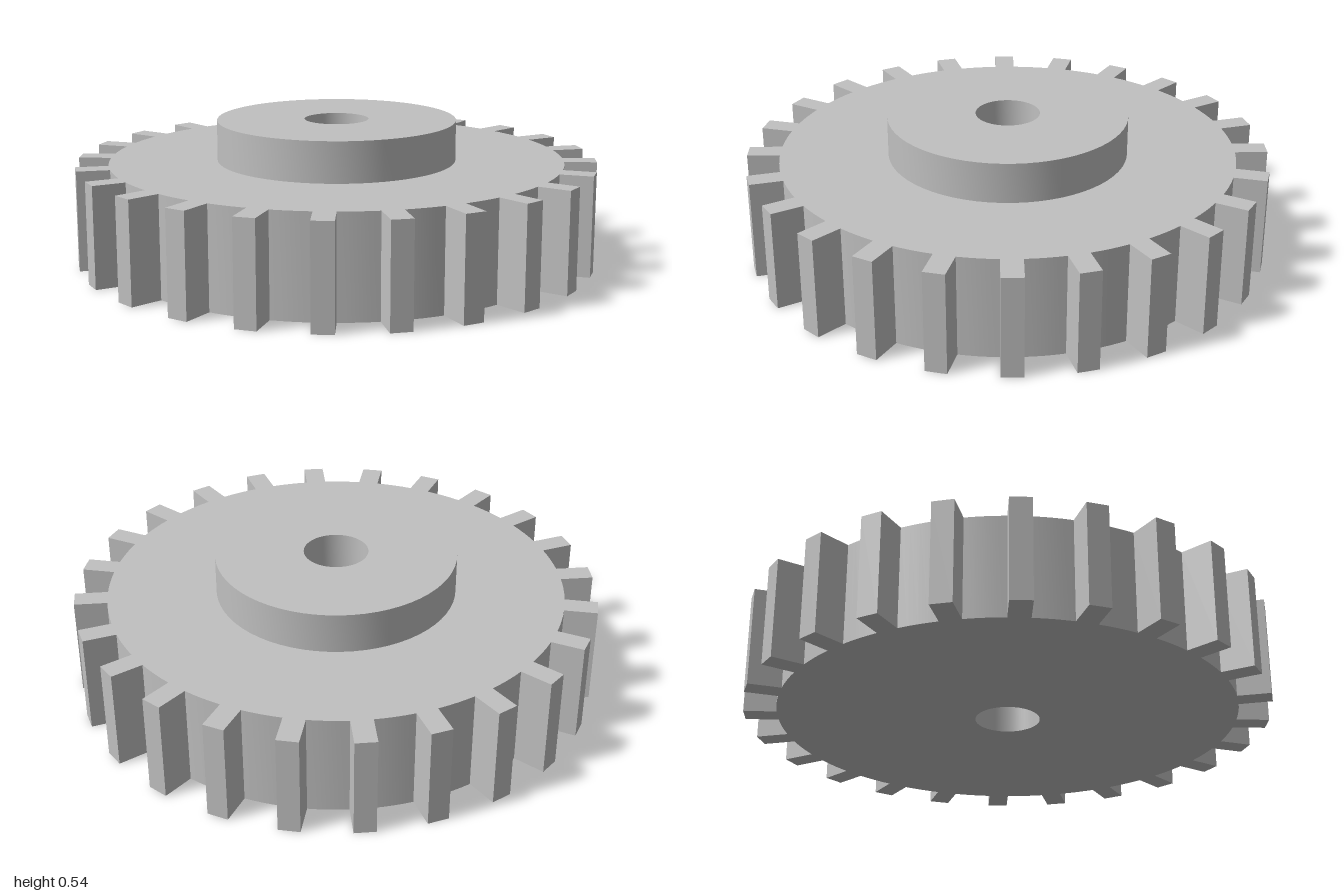
import * as THREE from 'three';
import { toCreasedNormals } from 'three/addons/utils/BufferGeometryUtils.js';

const TEETH = 24;
const ROOT_R = 0.875;      // radius between the teeth
const TIP_R = 1;           // distance to the flat tooth tips
const HALF_TOOTH = 0.04;   // half the width of a tooth
const GEAR_H = 0.385;
const HUB_R = 0.46;
const HUB_TOP = 0.54;
const BORE_R = 0.123;
const CREASE = Math.PI / 6;

// Outline of the toothed wheel: straight-sided teeth joined by root arcs
function gearShape() {
  const points = [];
  const pitch = (Math.PI * 2) / TEETH;
  const rootAngle = Math.asin(HALF_TOOTH / ROOT_R);
  const rootX = Math.cos(rootAngle) * ROOT_R;
  const arcSteps = 4;
  for (let i = 0; i < TEETH; i++) {
    const a = i * pitch;
    const tooth = [[rootX, -HALF_TOOTH], [TIP_R, -HALF_TOOTH], [TIP_R, HALF_TOOTH], [rootX, HALF_TOOTH]];
    for (const [x, y] of tooth) {
      points.push(new THREE.Vector2(x, y).rotateAround(new THREE.Vector2(), a));
    }
    for (let s = 1; s < arcSteps; s++) {
      const t = a + rootAngle + ((pitch - 2 * rootAngle) * s) / arcSteps;
      points.push(new THREE.Vector2(Math.cos(t) * ROOT_R, Math.sin(t) * ROOT_R));
    }
  }
  const shape = new THREE.Shape(points);
  shape.holes.push(new THREE.Path().absarc(0, 0, BORE_R, 0, Math.PI * 2, true));
  return shape;
}

export function createModel() {
  const group = new THREE.Group();
  group.name = 'spurGear';
  const metal = new THREE.MeshStandardMaterial({ color: 0xc0c0c0 });
  metal.name = 'light grey metal';

  // Toothed wheel with the shaft bore
  const wheelGeometry = new THREE.ExtrudeGeometry(gearShape(), {
    depth: GEAR_H, bevelEnabled: false, curveSegments: 32,
  });
  wheelGeometry.rotateX(-Math.PI / 2);
  const wheel = new THREE.Mesh(toCreasedNormals(wheelGeometry, CREASE), metal);
  wheel.name = 'toothedWheel';
  group.add(wheel);

  // Raised hub, its bore continuing the hole in the wheel
  const profile = [[HUB_R, GEAR_H], [HUB_R, HUB_TOP], [BORE_R, HUB_TOP], [BORE_R, GEAR_H]];
  const hubGeometry = new THREE.LatheGeometry(profile.map(([r, y]) => new THREE.Vector2(r, y)), 64);
  const hub = new THREE.Mesh(toCreasedNormals(hubGeometry, CREASE), metal);
  hub.name = 'hub';
  group.add(hub);

  return group;
}
